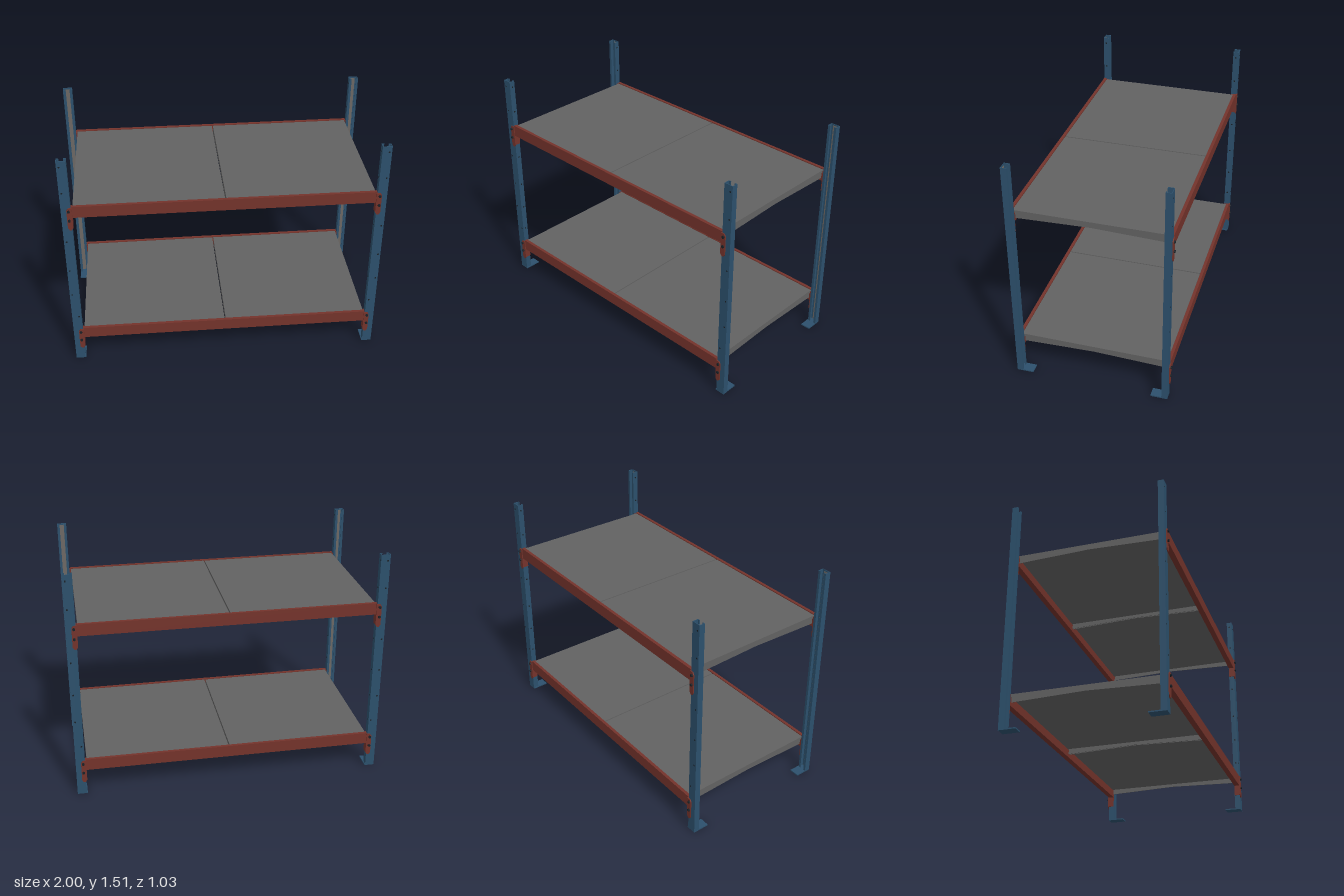
import * as THREE from 'three';

const mat = (name, color, side = THREE.FrontSide) => {
  const m = new THREE.MeshStandardMaterial({ color, side });
  m.name = name;
  return m;
};

export function createModel() {
  const blue = mat('blue paint', 0x2c506c);
  const red = mat('red paint', 0x74332b);
  const grey = mat('grey steel', 0x626262);
  const zinc = mat('worn zinc', 0x6c6864);
  const dark = mat('dark holes', 0x1a2026, THREE.DoubleSide);

  const rack = new THREE.Group();
  rack.name = 'shelvingRack';

  const add = (parent, name, geo, material, x = 0, y = 0, z = 0) => {
    const mesh = new THREE.Mesh(geo, material);
    mesh.name = name;
    mesh.position.set(x, y, z);
    parent.add(mesh);
    return mesh;
  };
  const box = (parent, name, material, x0, x1, y0, y1, z0, z1) =>
    add(parent, name, new THREE.BoxGeometry(x1 - x0, y1 - y0, z1 - z0), material,
      (x0 + x1) / 2, (y0 + y1) / 2, (z0 + z1) / 2);
  const outline = (pts) => new THREE.Shape(pts.map(([x, y]) => new THREE.Vector2(x, y)));
  const extrude = (pts, depth) =>
    new THREE.ExtrudeGeometry(outline(pts), { depth, bevelEnabled: false });

  // Lipped channel post, drawn as (x, -z) with the web facing outwards
  const postGeo = extrude([
    [0.94, -0.498], [1, -0.498], [1, -0.46], [0.984, -0.46], [0.984, -0.464], [0.996, -0.464],
    [0.996, -0.494], [0.944, -0.494], [0.944, -0.464], [0.956, -0.464], [0.956, -0.46], [0.94, -0.46],
  ], 1.51);
  postGeo.rotateX(-Math.PI / 2);

  const holeGeo = new THREE.CircleGeometry(0.006, 10);
  const boltGeo = new THREE.CylinderGeometry(0.009, 0.009, 0.012, 6).rotateX(Math.PI / 2);
  const levels = [0.25, 1.19];

  // One corner built at +x +z; turned copies and a mirrored outline fill the rest
  const corner = (name, sx, sz) => {
    const g = new THREE.Group();
    g.name = name;
    g.scale.set(sx, 1, sz);
    rack.add(g);
    add(g, 'post', postGeo, blue);
    box(g, 'postLining', zinc, 0.956, 0.984, 0.01, 1.5, 0.491, 0.4942);
    box(g, 'footPlate', blue, 0.935, 1, 0, 0.008, 0.39, 0.498);
    // Fixing holes in the web and the inner flange
    for (const y of [0.35, 0.53, 0.72, 0.94, 1.29, 1.47]) {
      add(g, 'webHole', holeGeo, dark, y % 0.2 < 0.14 ? 0.984 : 0.956, y, 0.4986);
      add(g, 'flangeHole', holeGeo, dark, 0.9394, y, 0.479).rotation.y = -Math.PI / 2;
    }
    // Angle brackets with bolts at each level
    for (const top of levels) {
      const plate = extrude([
        [0.933, top - 0.145], [0.944, top - 0.16], [0.956, top - 0.16], [0.966, top - 0.145],
        [0.966, top - 0.02], [0.956, top - 0.004], [0.933, top - 0.004],
      ], 0.006);
      add(g, 'bracketFront', plate, red, 0, 0, 0.498);
      box(g, 'bracketSide', red, 0.933, 0.939, top - 0.145, top - 0.004, 0.462, 0.5);
      for (const dy of [0.025, 0.09]) add(g, 'bolt', boltGeo, dark, 0.953, top - dy, 0.507);
    }
  };
  corner('frontLeftUpright', 1, 1);
  corner('frontRightUpright', -1, 1);
  corner('backLeftUpright', 1, -1);
  corner('backRightUpright', -1, -1);

  // Stepped beam section as (-z, y below the shelf top), run along x
  const beamGeo = extrude([
    [-0.498, -0.075], [-0.462, -0.075], [-0.462, -0.022], [-0.478, -0.022],
    [-0.478, 0.002], [-0.498, 0.002],
  ], 1.87).rotateY(Math.PI / 2).translate(-0.935, 0, 0);
  // Panel skirt with a shallow arch underneath
  const skirtGeo = extrude([
    [-0.459, -0.055], [0, -0.04], [0.459, -0.055], [0.459, -0.018], [-0.459, -0.018],
  ], 0.004).rotateY(Math.PI / 2);

  levels.forEach((top, i) => {
    const shelf = new THREE.Group();
    shelf.name = i ? 'upperShelf' : 'lowerShelf';
    shelf.position.y = top;
    rack.add(shelf);
    add(shelf, 'frontBeam', beamGeo, red);
    add(shelf, 'backBeam', beamGeo, red).rotation.y = Math.PI;
    // Two deck panels with a narrow gap between them
    for (const s of [-1, 1]) {
      const panel = new THREE.Group();
      panel.name = s > 0 ? 'leftPanel' : 'rightPanel';
      panel.position.x = s * 0.4665;
      shelf.add(panel);
      box(panel, 'deck', grey, -0.4625, 0.4625, -0.02, -0.002, -0.476, 0.476);
      add(panel, 'skirt', skirtGeo, grey, -0.4625);
      add(panel, 'skirt', skirtGeo, grey, 0.4585);
    }
  });
  return rack;
}
